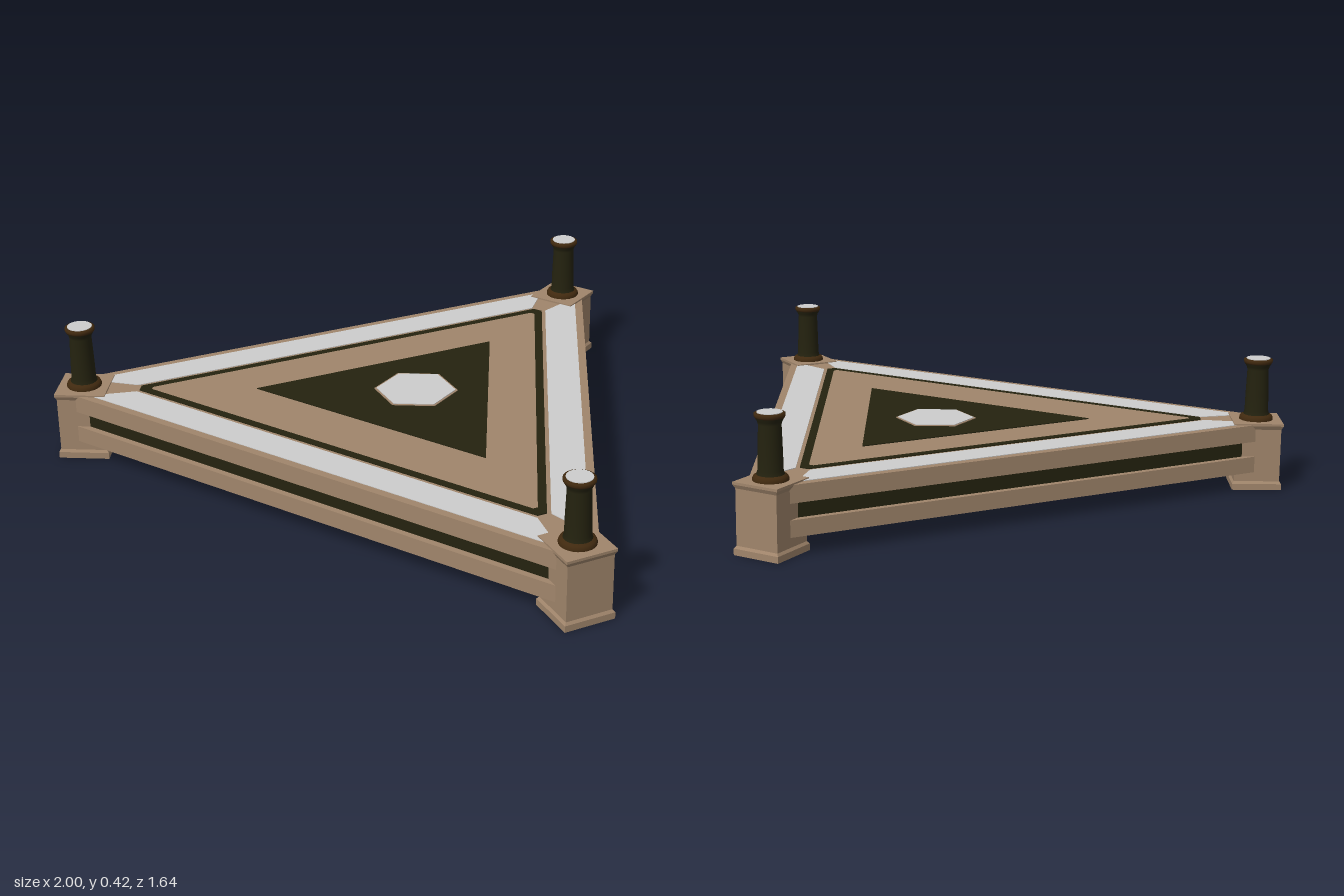
import * as THREE from 'three';

const mat = (name, color) => {
  const m = new THREE.MeshStandardMaterial({ color });
  m.name = name;
  return m;
};

// Plan of the platform: an isosceles triangle, inset evenly about its incentre
const INCENTRE = 0.2155, INRADIUS = 0.5645;
const CORNERS = [[0, -0.874], [1.002, 0.78], [-1.002, 0.78]];
const inset = (d) => CORNERS.map(([x, z]) => {
  const s = 1 - d / INRADIUS;
  return new THREE.Vector2(x * s, INCENTRE + (z - INCENTRE) * s);
});
// Point on the way from a to b, a given distance from a
const along = (a, b, dist) => a.clone().add(b.clone().sub(a).setLength(dist));
// Triangle with its corners cut off
const clipped = (d, cut) => {
  const p = inset(d);
  return p.flatMap((c, i) => [along(c, p[(i + 2) % 3], cut), along(c, p[(i + 1) % 3], cut)]);
};

// Upright prism from a plan outline given in x and z
function slab(points, y0, y1, hole) {
  const flip = (list) => list.map((p) => new THREE.Vector2(p.x, -p.y));
  const shape = new THREE.Shape(flip(points));
  if (hole) shape.holes.push(new THREE.Path(flip(hole)));
  return new THREE.ExtrudeGeometry(shape, { depth: y1 - y0, bevelEnabled: false })
    .rotateX(-Math.PI / 2).translate(0, y0, 0);
}

// Square turned profile with flat sides, from [halfWidth, y] pairs
function squareProfile(pairs) {
  const pts = pairs.map(([h, y]) => new THREE.Vector2(h * Math.SQRT2, y));
  const g = new THREE.LatheGeometry(pts, 4).rotateY(Math.PI / 4).toNonIndexed();
  g.computeVertexNormals();
  return g;
}

export function createModel() {
  const model = new THREE.Group();
  const tan = mat('tan stone', 0xa0856b);
  const dark = mat('dark olive', 0x24220f);
  const pale = mat('pale grey', 0xcdcdcd);
  const bronze = mat('dark bronze', 0x40290f);
  const add = (parent, name, geometry, material) => {
    const mesh = new THREE.Mesh(geometry, material);
    mesh.name = name;
    parent.add(mesh);
    return mesh;
  };

  // Platform: two bands with a dark recessed course between them
  add(model, 'lowerBand', slab(clipped(0, 0.13), 0.058, 0.11), tan);
  add(model, 'darkCourse', slab(clipped(0.02, 0.1), 0.108, 0.162), dark);
  add(model, 'upperBand', slab(clipped(0, 0.13), 0.16, 0.215), tan);

  // Pale panels along the three sides of the top
  const outer = inset(0.025), inner = inset(0.128);
  for (let i = 0; i < 3; i++) {
    const j = (i + 1) % 3;
    add(model, 'sidePanel', slab([
      along(outer[i], outer[j], 0.1), along(outer[j], outer[i], 0.13),
      along(inner[j], inner[i], 0.05), along(inner[i], inner[j], 0.045),
    ], 0.213, 0.217), pale);
  }

  // Thin dark frame, centre triangle and hexagon
  add(model, 'topFrame', slab(clipped(0.14, 0.03), 0.213, 0.218, clipped(0.165, 0.015)), dark);
  add(model, 'centreTriangle', slab(
    [[0, -0.268], [0.423, 0.43], [-0.423, 0.43]].map((p) => new THREE.Vector2(...p)), 0.213, 0.218), dark);
  const hexagon = (r) => Array.from({ length: 6 }, (_, i) =>
    new THREE.Vector2(r * Math.sin(i * Math.PI / 3), 0.167 + r * Math.cos(i * Math.PI / 3)));
  add(model, 'hexagonRim', slab(hexagon(0.131), 0.215, 0.22), tan);
  add(model, 'hexagon', slab(hexagon(0.124), 0.218, 0.222), pale);

  // Corner posts, each with a column on top
  const postGeometry = squareProfile([
    [0, 0], [0.079, 0], [0.079, 0.02], [0.073, 0.028], [0.073, 0.2],
    [0.079, 0.212], [0.079, 0.22], [0, 0.22]]);
  const lathe = (pairs) => new THREE.LatheGeometry(pairs.map((p) => new THREE.Vector2(...p)), 24);
  const baseGeometry = lathe([[0.054, 0.219], [0.054, 0.226], [0.05, 0.234], [0.04, 0.238]]);
  const shaftGeometry = lathe([
    [0.042, 0.236], [0.038, 0.25], [0.037, 0.3], [0.034, 0.385], [0.037, 0.395], [0.043, 0.405], [0.043, 0.41]]);
  const capGeometry = lathe([
    [0.035, 0.405], [0.043, 0.405], [0.046, 0.41], [0.046, 0.418], [0.04, 0.42], [0, 0.42]]);
  const discGeometry = new THREE.CylinderGeometry(0.038, 0.038, 0.004, 24).translate(0, 0.42, 0);

  for (const [x, z, turn] of [[0, -0.745, 0], [0.89, 0.71, -Math.PI / 6], [-0.89, 0.71, Math.PI / 6]]) {
    const corner = new THREE.Group();
    corner.name = 'cornerPost';
    corner.position.set(x, 0, z);
    corner.rotation.y = turn;
    add(corner, 'post', postGeometry, tan);
    add(corner, 'columnBase', baseGeometry, bronze);
    add(corner, 'columnShaft', shaftGeometry, dark);
    add(corner, 'columnCap', capGeometry, bronze);
    add(corner, 'columnTop', discGeometry, pale);
    model.add(corner);
  }
  return model;
}
